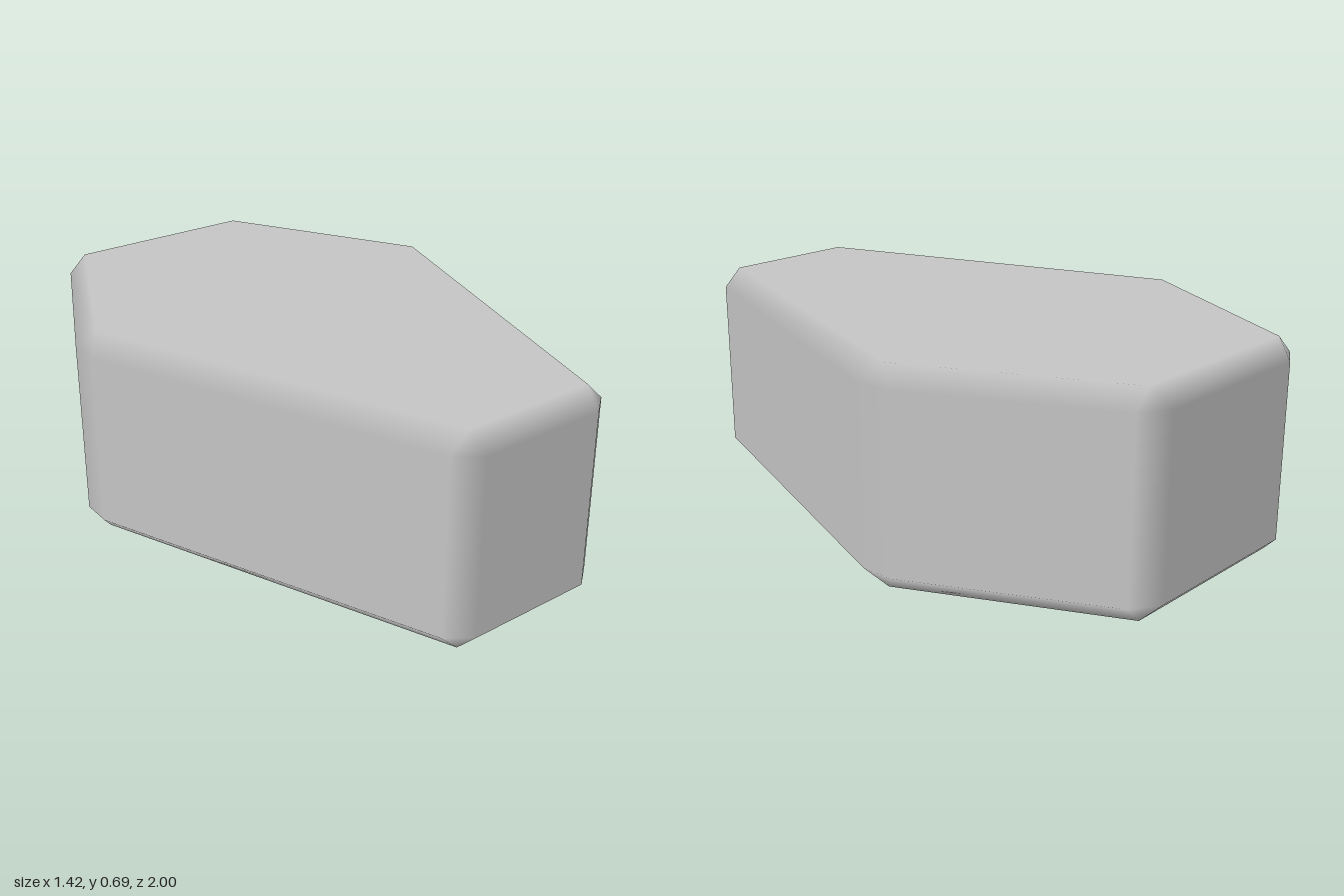
import * as THREE from 'three';

// Half outlines as [x, z], front to back on the +x side; the other side is mirrored.
const mirror = half => [...half, ...half.map(([x, z]) => [-x, z]).reverse()];
const WALL = mirror([[0.22, 1], [0.30, 0.94], [0.71, -0.22], [0.705, -0.33], [0.385, -0.945], [0.295, -1]]);
const LID = mirror([[0.235, 0.94], [0.66, -0.275], [0.325, -0.94]]);
const HEIGHT = 0.695, BEVEL = 0.06;

// Six-sided box with every edge bevelled once; normals follow the flat faces
// so that the bevels shade smoothly between them.
function bevelledCoffin() {
  const positions = [], normals = [], index = [];
  const quad = (a, b, c, d) => index.push(a, b, c, a, c, d);

  // Wall rings (lower 0-11, upper 12-23)
  for (const y of [BEVEL, HEIGHT - BEVEL]) {
    WALL.forEach(([x, z], i) => {
      // odd points start a wall, even points end one
      const a = WALL[i % 2 ? i : (i + 11) % 12], b = WALL[i % 2 ? (i + 1) % 12 : i];
      const n = new THREE.Vector3(a[1] - b[1], 0, b[0] - a[0]).normalize();
      positions.push(x, y, z);
      normals.push(n.x, 0, n.z);
    });
  }
  // Bottom corners (24-29) and top corners (30-35)
  for (const [y, ny] of [[0, -1], [HEIGHT, 1]]) {
    for (const [x, z] of LID) {
      positions.push(x, y, z);
      normals.push(0, ny, 0);
    }
  }

  // Walls and rounded upright edges
  for (let i = 0; i < 12; i++) {
    const j = (i + 1) % 12;
    quad(i, j, 12 + j, 12 + i);
  }
  // Bevels and corner triangles around the bottom and the top
  for (let c = 0; c < 6; c++) {
    const next = (c + 1) % 6, a = 2 * c, b = a + 1, e = (a + 2) % 12;
    index.push(12 + a, 12 + b, 30 + c, b, a, 24 + c);
    quad(12 + b, 12 + e, 30 + next, 30 + c);
    quad(e, b, 24 + c, 24 + next);
  }
  // Flat top and bottom
  for (let c = 1; c < 5; c++) index.push(30, 30 + c, 31 + c, 24, 25 + c, 24 + c);

  const geometry = new THREE.BufferGeometry();
  geometry.setAttribute('position', new THREE.Float32BufferAttribute(positions, 3));
  geometry.setAttribute('normal', new THREE.Float32BufferAttribute(normals, 3));
  geometry.setIndex(index);
  return geometry;
}

export function createModel() {
  const group = new THREE.Group();
  group.name = 'coffin';
  const grey = new THREE.MeshStandardMaterial({ color: 0xc4c4c4 });
  grey.name = 'light grey';
  const body = new THREE.Mesh(bevelledCoffin(), grey);
  body.name = 'coffinBody';
  group.add(body);
  return group;
}
